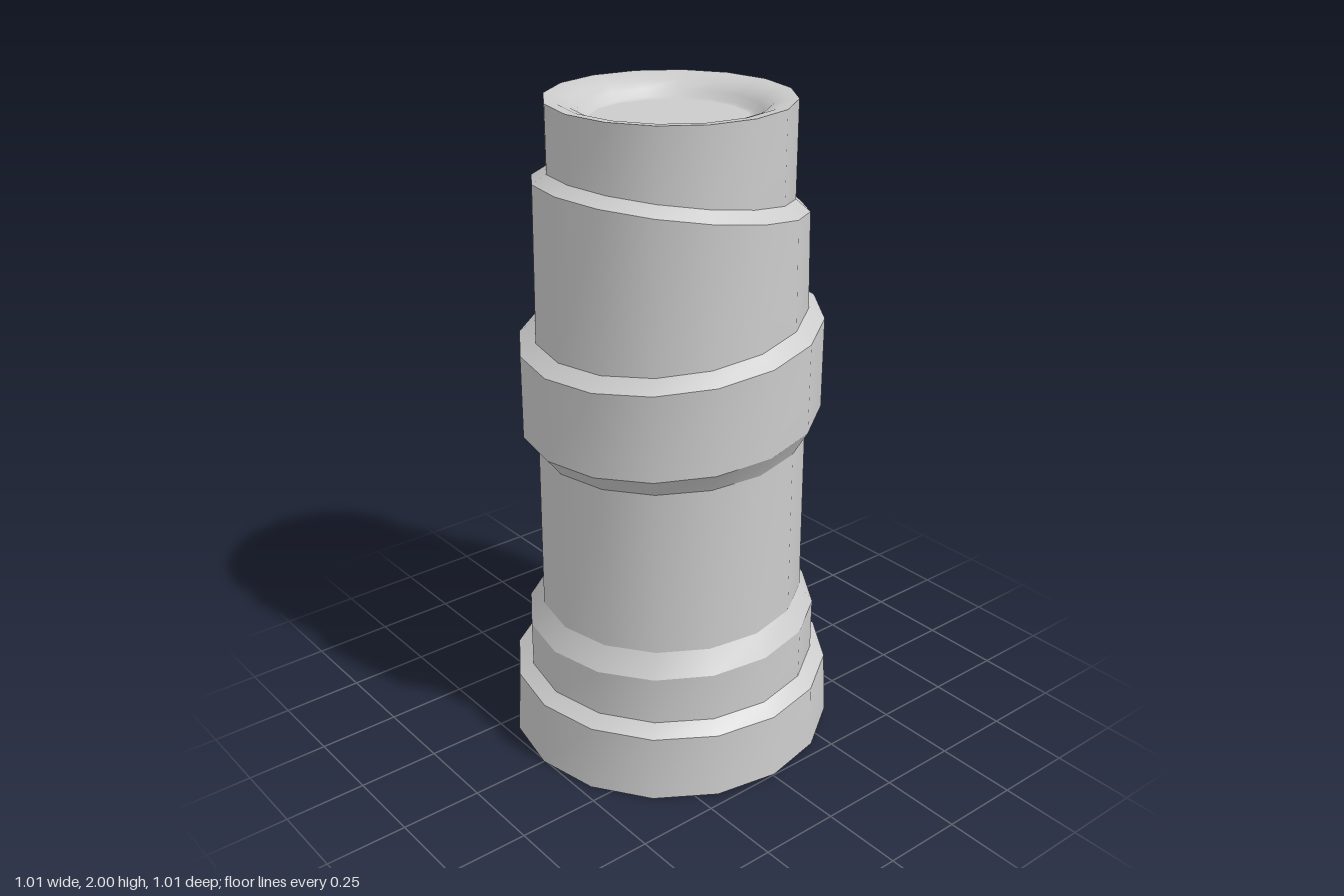
import * as THREE from 'three';

const SIDES = 16;
const material = new THREE.MeshStandardMaterial({ color: 0xcccccc, side: THREE.DoubleSide });

// Each ring is [radius, height at -x, height at +x], so its plane may lean sideways.
// Rings are joined bottom to top (outside) or outer to inner (top) with smooth normals.
function strip(name, rings) {
  const positions = [], indices = [];
  rings.forEach(([r, yRight, yLeft], k) => {
    for (let i = 0; i < SIDES; i++) {
      const a = (i / SIDES) * Math.PI * 2;
      const x = Math.sin(a), z = Math.cos(a);
      positions.push(r * x, yRight + (yLeft - yRight) * (x + 1) / 2, r * z);
      if (k === 0) continue;
      const j = (i + 1) % SIDES;
      const lo = (k - 1) * SIDES, hi = k * SIDES;
      indices.push(lo + i, lo + j, hi + j, lo + i, hi + j, hi + i);
    }
  });
  const geometry = new THREE.BufferGeometry();
  geometry.setAttribute('position', new THREE.Float32BufferAttribute(positions, 3));
  geometry.setIndex(indices);
  geometry.computeVertexNormals();
  const mesh = new THREE.Mesh(geometry, material);
  mesh.name = name;
  return mesh;
}

export function createModel() {
  const model = new THREE.Group();
  model.name = 'steppedColumn';

  // Outer shell, from the open foot to the rim
  const rings = [
    [0.505, 0.0, 0.015],
    [0.495, 0.205, 0.217],
    [0.45, 0.235, 0.25],
    [0.45, 0.38, 0.42],
    [0.408, 0.45, 0.48],
    [0.405, 0.965, 1.012],
    [0.45, 1.02, 1.1],
    [0.45, 1.275, 1.38],
    [0.403, 1.31, 1.41],
    [0.397, 1.785, 1.665],
    [0.355, 1.81, 1.702],
    [0.355, 2.0, 2.0],
  ];
  const names = [
    'footBand', 'footBevel', 'lowerBand', 'lowerBevel', 'mainShaft', 'collarUnderside',
    'collar', 'collarBevel', 'upperShaft', 'upperBevel', 'neck',
  ];
  names.forEach((name, i) => model.add(strip(name, [rings[i], rings[i + 1]])));

  // Rounded lip rolling down into the dish
  const lip = [[0.355, 2.0], [0.32, 1.997], [0.285, 1.985], [0.26, 1.965], [0.245, 1.945], [0.23, 1.94]];
  model.add(strip('dishLip', lip.map(([r, y]) => [r, y, y])));

  // Flat dish floor
  const floor = new THREE.Mesh(new THREE.CircleGeometry(0.23, SIDES).rotateX(-Math.PI / 2), material);
  floor.position.y = 1.94;
  floor.name = 'dishFloor';
  model.add(floor);

  return model;
}
